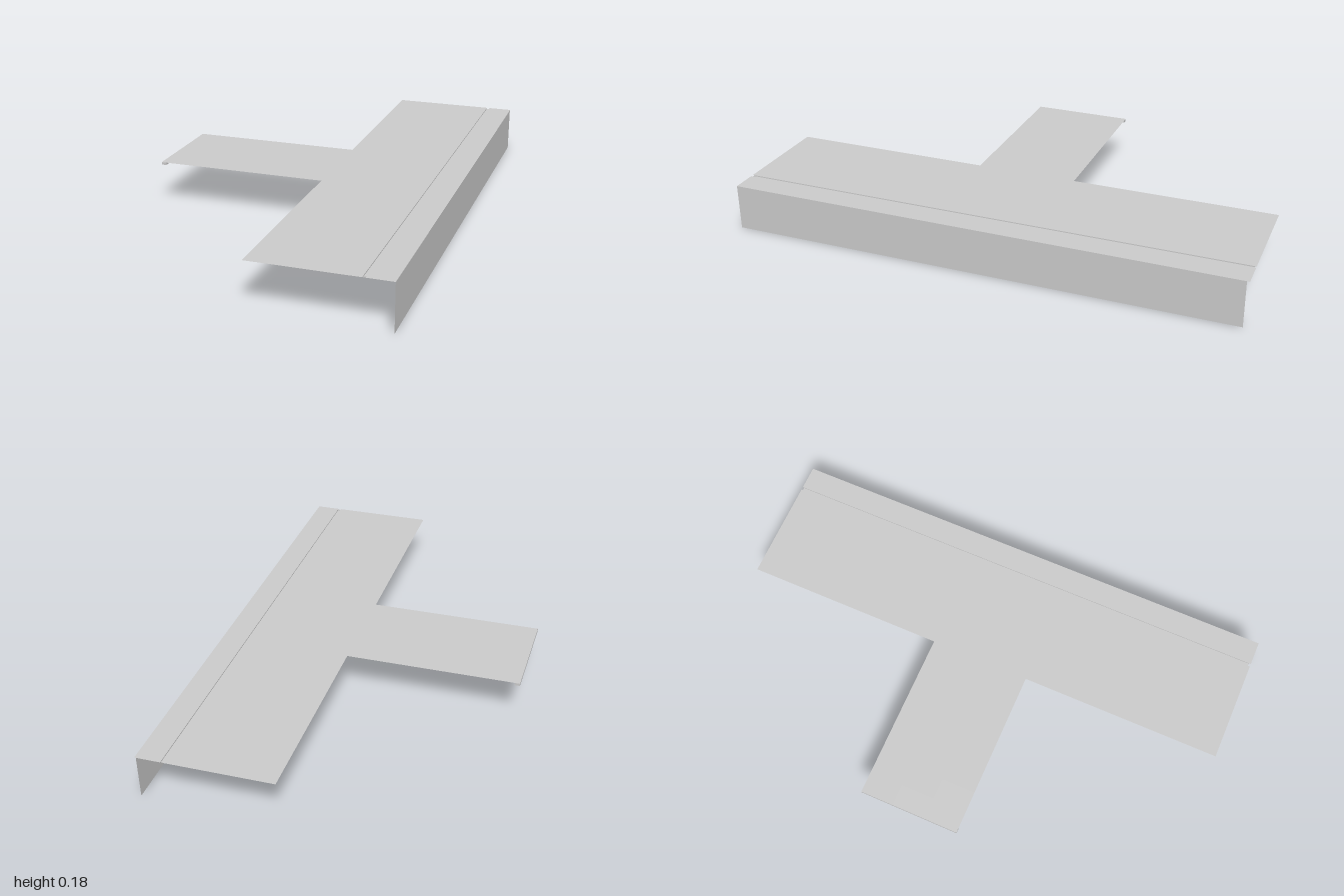
import * as THREE from 'three';

const TOP = 0.18;
const mat = new THREE.MeshStandardMaterial({ color: 0xcccccc, side: THREE.DoubleSide, flatShading: true });

function add(parent, geometry, name, x, y, z) {
  const mesh = new THREE.Mesh(geometry, mat);
  mesh.name = name;
  mesh.position.set(x, y, z);
  parent.add(mesh);
  return mesh;
}

// Flat horizontal sheet between two corners
function sheet(parent, name, x0, x1, z0, z1, y = TOP) {
  const geo = new THREE.PlaneGeometry(x1 - x0, z1 - z0).rotateX(-Math.PI / 2);
  return add(parent, geo, name, (x0 + x1) / 2, y, (z0 + z1) / 2);
}

// Upright sheet running along z
function wall(parent, name, x, y0, y1, z0, z1) {
  const geo = new THREE.PlaneGeometry(z1 - z0, y1 - y0).rotateY(Math.PI / 2);
  return add(parent, geo, name, x, (y0 + y1) / 2, (z0 + z1) / 2);
}

// Area paved with abutting slabs
function paving(parent, name, x0, x1, z0, z1, nx, nz) {
  const area = new THREE.Group();
  area.name = name;
  const dx = (x1 - x0) / nx, dz = (z1 - z0) / nz;
  for (let i = 0; i < nx; i++) {
    for (let j = 0; j < nz; j++) {
      sheet(area, 'slab', x0 + i * dx, x0 + (i + 1) * dx, z0 + j * dz, z0 + (j + 1) * dz);
    }
  }
  parent.add(area);
}

export function createModel() {
  const model = new THREE.Group();
  model.name = 'quay';

  // Paved deck: long quay and the arm branching off its middle
  paving(model, 'quayDeck', 0.08, 0.488, -1, 1, 5, 13);
  paving(model, 'armDeck', -0.6, 0.08, -0.2, 0.2, 8, 3);

  // Shallow drainage channel between deck and kerb
  const channel = new THREE.Group();
  channel.name = 'drainChannel';
  sheet(channel, 'channelFloor', 0.488, 0.5, -0.995, 0.992, TOP - 0.004);
  for (const x of [0.488, 0.5]) wall(channel, 'channelSide', x, TOP - 0.004, TOP, -0.995, 0.992);
  add(channel, new THREE.PlaneGeometry(0.012, 0.004), 'channelEnd', 0.494, TOP - 0.002, 0.992);
  model.add(channel);

  // Kerb strip and the tall quay wall below it
  sheet(model, 'kerb', 0.5, 0.597, -1, 1);
  wall(model, 'quayWall', 0.597, 0, TOP, -0.99, 1);

  // Lip under the free end of the arm
  add(model, new THREE.BoxGeometry(0.02, 0.01, 0.4), 'armEndLip', -0.59, TOP - 0.0052, 0);

  return model;
}
